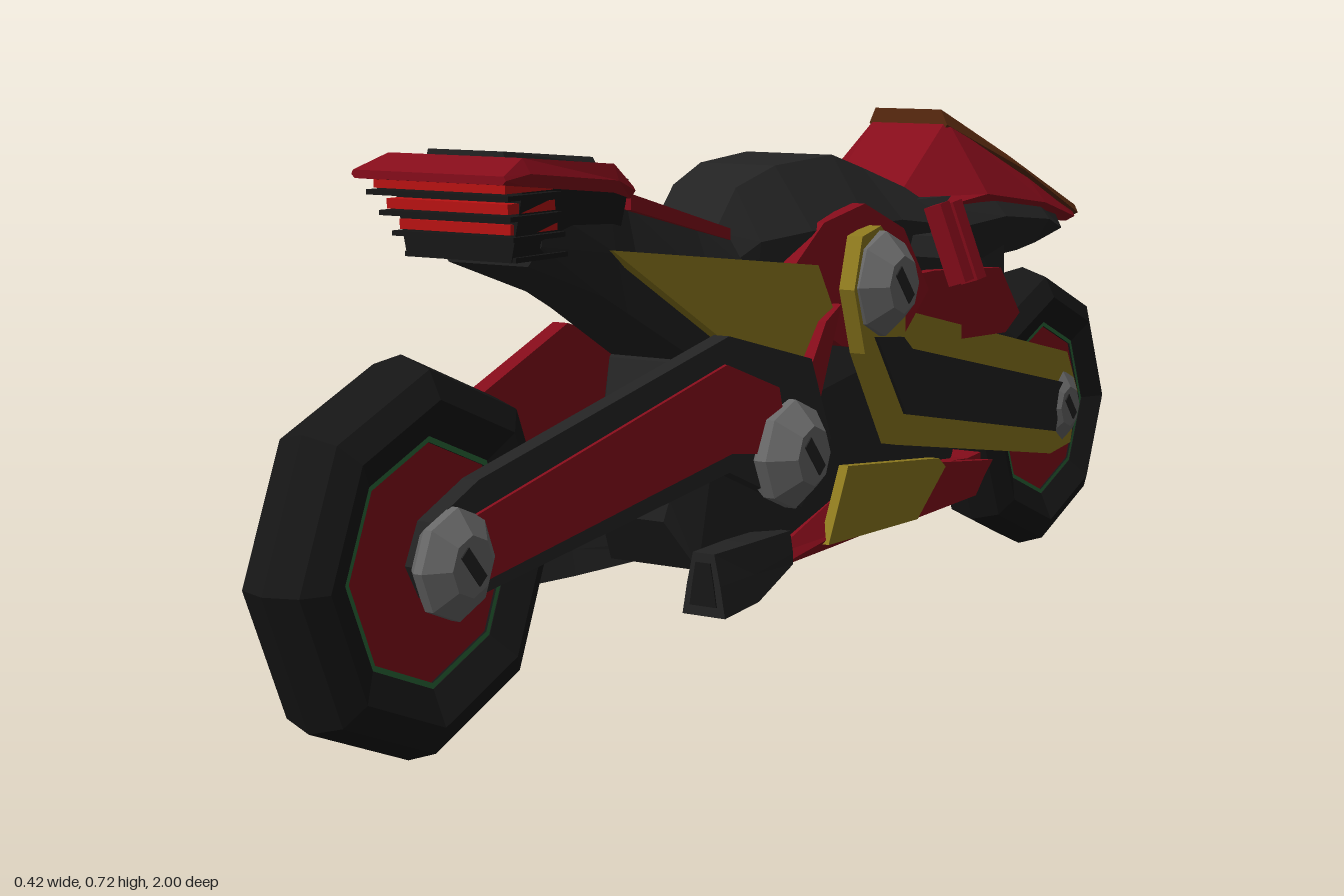
import * as THREE from 'three';

const mat = (color) => new THREE.MeshStandardMaterial({ color, flatShading: true, side: THREE.DoubleSide });
const DARK = mat(0x232323), BLACK = mat(0x161616), RED = mat(0x850c1a), GLOW = mat(0xb81212),
  GOLD = mat(0x8e7a1e), BROWN = mat(0x5a2a10), STEEL = mat(0x686868), GREEN = mat(0x2a6b3a);

export function createModel() {
  const model = new THREE.Group();
  const add = (name, geometry, material, parent = model) => {
    const mesh = new THREE.Mesh(geometry, material);
    mesh.name = name;
    parent.add(mesh);
    return mesh;
  };

  // Flat panel drawn in (z, y); its outer face runs from xA at zA to xB at zB
  const panel = (name, pts, material, thick, [zA, xA, zB, xB], side) => {
    const shape = new THREE.Shape(pts.map((p) => new THREE.Vector2(p[0], p[1])));
    const g = new THREE.ExtrudeGeometry(shape, { depth: thick, bevelEnabled: false });
    g.translate(0, 0, -thick / 2).rotateY(-Math.PI / 2);
    const pos = g.attributes.position;
    for (let i = 0; i < pos.count; i++) {
      const t = (pos.getZ(i) - zA) / (zB - zA);
      pos.setX(i, pos.getX(i) + side * (xA + (xB - xA) * t - thick / 2));
    }
    g.computeVertexNormals();
    return add(name, g, material);
  };

  // Six-sided hull through sections [z, yBottom, yMid, yTop, wBottom, wMid, wTop, centreX], front to back
  const loft = (name, sections, material) => {
    const v = [], f = [], n = 6;
    for (const [z, yb, ym, yt, wb, wm, wt, cx = 0] of sections)
      for (const [x, y] of [[wb, yb], [wm, ym], [wt, yt], [-wt, yt], [-wm, ym], [-wb, yb]]) v.push(cx + x, y, z);
    const last = (sections.length - 1) * n;
    for (let s = 0; s < last; s += n)
      for (let j = 0; j < n; j++) {
        const a = s + j, b = s + (j + 1) % n;
        f.push(a, a + n, b, b, a + n, b + n);
      }
    for (let j = 1; j < n - 1; j++) f.push(0, j, j + 1, last, last + j + 1, last + j);
    const g = new THREE.BufferGeometry();
    g.setAttribute('position', new THREE.Float32BufferAttribute(v, 3));
    g.setIndex(f);
    g.computeVertexNormals();
    return add(name, g, material);
  };

  const lathe = (pts) => new THREE.LatheGeometry(pts.map((p) => new THREE.Vector2(p[0], p[1])), 8).rotateZ(-Math.PI / 2);

  // Wheels: octagonal tyre, red disc and thin green ring
  const wheel = (name, z, y, r) => {
    const g = new THREE.Group();
    g.name = name;
    g.position.set(0, y, z);
    g.scale.set(1, r, r);
    add('tyre', lathe([[0.62, -0.04], [0.8, -0.058], [0.94, -0.042], [1, 0], [0.94, 0.042], [0.8, 0.058],
      [0.62, 0.04], [0.62, -0.04]]), BLACK, g);
    add('wheelDisc', lathe([[0, -0.036], [0.59, -0.036], [0.59, 0.036], [0, 0.036]]), RED, g);
    add('wheelRing', lathe([[0.59, -0.039], [0.63, -0.039], [0.63, 0.039], [0.59, 0.039]]), GREEN, g);
    model.add(g);
  };
  wheel('frontWheel', 0.762, 0.245, 0.24);
  wheel('rearWheel', -0.772, 0.228, 0.226);

  // Large faceted bolt with a slotted cap, from x0 outward
  const bolt = (name, z, y, r, x0, x1, side) => {
    const g = new THREE.Group(), h = x1 - x0;
    g.name = name;
    g.position.set(side * x0, y, z);
    if (side < 0) g.rotation.y = Math.PI;
    add('boltHead', lathe([[0, 0], [r * 0.8, 0], [r, h * 0.3], [r, h * 0.55], [r * 0.55, h], [0, h]]), STEEL, g);
    const slot = add('boltSlot', new THREE.BoxGeometry(0.004, r * 0.75, r * 0.25), DARK, g);
    slot.position.x = h;
    slot.rotation.x = 0.7;
    model.add(g);
  };

  // Engine block
  loft('engine', [
    [0.31, 0.22, 0.25, 0.29, 0.05, 0.06, 0.05],
    [0.26, 0.15, 0.28, 0.42, 0.07, 0.09, 0.07],
    [0.12, 0.14, 0.35, 0.56, 0.09, 0.12, 0.07],
    [-0.2, 0.15, 0.4, 0.58, 0.09, 0.12, 0.1],
    [-0.4, 0.17, 0.42, 0.55, 0.07, 0.11, 0.1],
    [-0.52, 0.38, 0.44, 0.52, 0.06, 0.1, 0.1]], DARK);
  loft('bellyPan', [
    [0.13, 0.13, 0.135, 0.15, 0.1, 0.11, 0.1],
    [-0.02, 0.135, 0.16, 0.2, 0.1, 0.118, 0.1],
    [-0.22, 0.143, 0.17, 0.22, 0.1, 0.12, 0.11],
    [-0.43, 0.145, 0.16, 0.2, 0.07, 0.09, 0.09],
    [-0.49, 0.18, 0.185, 0.2, 0.06, 0.08, 0.08]], RED);

  // Fuel tank
  loft('fuelTank', [
    [0.19, 0.5, 0.54, 0.585, 0.06, 0.07, 0.05],
    [0.14, 0.48, 0.57, 0.64, 0.08, 0.09, 0.05],
    [0.06, 0.48, 0.58, 0.665, 0.1, 0.12, 0.06],
    [-0.07, 0.48, 0.58, 0.673, 0.11, 0.13, 0.07],
    [-0.16, 0.5, 0.58, 0.65, 0.11, 0.13, 0.065],
    [-0.32, 0.5, 0.56, 0.605, 0.11, 0.13, 0.06]], DARK);

  // Neck and headlamp housing
  loft('neck', [
    [0.6, 0.575, 0.6, 0.65, 0.06, 0.08, 0.08],
    [0.45, 0.525, 0.58, 0.65, 0.06, 0.08, 0.07],
    [0.4, 0.5, 0.57, 0.635, 0.06, 0.075, 0.06],
    [0.25, 0.42, 0.52, 0.6, 0.07, 0.09, 0.06],
    [0.12, 0.4, 0.5, 0.57, 0.08, 0.1, 0.06]], DARK);
  loft('headHousing', [
    [0.655, 0.585, 0.64, 0.69, 0.078, 0.09, 0.1],
    [0.43, 0.6, 0.64, 0.67, 0.07, 0.08, 0.085]], BLACK);
  loft('headRim', [
    [0.71, 0.68, 0.685, 0.69, 0.11, 0.115, 0.112],
    [0.66, 0.675, 0.69, 0.708, 0.105, 0.112, 0.1],
    [0.46, 0.655, 0.67, 0.69, 0.085, 0.092, 0.085],
    [0.42, 0.645, 0.655, 0.66, 0.08, 0.088, 0.085]], RED);
  loft('headPanel', [
    [0.64, 0.69, 0.7, 0.713, 0.06, 0.06, 0.056],
    [0.47, 0.68, 0.69, 0.698, 0.065, 0.065, 0.06]], DARK);
  for (let i = 0; i < 4; i++) {
    const w = 0.196 - i * 0.015, y = 0.674 - i * 0.025, z = 0.645 - i * 0.014;
    add('lampSlat', new THREE.BoxGeometry(w, 0.012, 0.09), GLOW).position.set(0, y, z);
    add('lampFin', new THREE.BoxGeometry(w + 0.016, 0.006, 0.1), BLACK).position.set(0, y - 0.011, z);
  }

  // Tail: dark underside, red flanks, brown seat cover
  loft('tailBase', [
    [-0.22, 0.48, 0.55, 0.6, 0.1, 0.125, 0.09],
    [-0.45, 0.5, 0.565, 0.6, 0.1, 0.14, 0.11],
    [-0.6, 0.5, 0.55, 0.58, 0.08, 0.135, 0.11],
    [-0.68, 0.505, 0.53, 0.56, 0.07, 0.115, 0.1]], DARK);
  loft('tailFlanks', [
    [-0.265, 0.57, 0.58, 0.6, 0.08, 0.1, 0.06],
    [-0.41, 0.57, 0.6, 0.708, 0.1, 0.13, 0.06],
    [-0.6, 0.55, 0.575, 0.625, 0.1, 0.128, 0.085],
    [-0.745, 0.535, 0.543, 0.553, 0.09, 0.105, 0.1]], RED);
  loft('seatCover', [
    [-0.4, 0.69, 0.7, 0.722, 0.06, 0.066, 0.056],
    [-0.58, 0.61, 0.625, 0.645, 0.08, 0.102, 0.075],
    [-0.755, 0.54, 0.548, 0.56, 0.09, 0.106, 0.1]], BROWN);
  add('tailLamp', new THREE.BoxGeometry(0.1, 0.02, 0.03), GOLD).position.set(0, 0.525, -0.69);

  for (const s of [1, -1]) {
    // Front fork arms, with the colours swapped between the two sides
    const forkX = [0.2, 0.152, 0.76, 0.072];
    panel('frontFork', [[0.81, 0.25], [0.79, 0.3], [0.72, 0.34], [0.29, 0.465], [0.13, 0.42], [0.09, 0.31],
      [0.15, 0.225], [0.29, 0.29], [0.74, 0.2], [0.79, 0.21]], s > 0 ? DARK : RED, 0.024, forkX, s);
    panel('frontForkInlay', [[0.73, 0.3], [0.3, 0.43], [0.2, 0.39], [0.18, 0.3], [0.29, 0.315], [0.72, 0.22]],
      s > 0 ? RED : DARK, 0.01, forkX.map((v, i) => (i % 2 ? v + 0.005 : v)), s);
    bolt('frontHub', 0.762, 0.248, 0.067, 0.055, 0.102, s);
    bolt('forkPivot', 0.175, 0.3, 0.072, 0.13, 0.195, s);

    // Swing arms
    const armX = [-0.1, 0.15, -0.78, 0.075];
    panel('swingArm', [[0.0, 0.57], [-0.06, 0.58], [-0.13, 0.53], [-0.17, 0.45], [-0.79, 0.32], [-0.84, 0.25],
      [-0.81, 0.17], [-0.72, 0.165], [-0.115, 0.27], [-0.01, 0.41], [0.025, 0.5]], GOLD, 0.024, armX, s);
    panel('swingArmInlay', [[-0.04, 0.43], [-0.13, 0.42], [-0.16, 0.4], [-0.76, 0.275], [-0.73, 0.2], [-0.14, 0.31]],
      s > 0 ? DARK : RED, 0.01, armX.map((v, i) => (i % 2 ? v + 0.005 : v)), s);
    bolt('rearHub', -0.772, 0.235, 0.058, 0.055, 0.09, s);
    bolt('armPivot', -0.055, 0.502, 0.072, 0.13, 0.195, s);

    // Side fairings
    panel('frontFairing', [[0.465, 0.585], [0.06, 0.535], [0.02, 0.46], [0.11, 0.36], [0.25, 0.45]],
      GOLD, 0.015, [0.465, 0.085, 0.05, 0.13], s);
    panel('pivotCover', [[0.11, 0.48], [0.1, 0.54], [0.04, 0.59], [-0.05, 0.61], [-0.14, 0.57], [-0.2, 0.48],
      [-0.12, 0.4], [0.0, 0.42]], RED, 0.02, [0.11, 0.118, -0.06, 0.136], s);
    panel('pivotStrut', [[0.06, 0.46], [0.02, 0.48], [0.1, 0.3], [0.15, 0.33]], RED, 0.018, [0, 0.14, 0.15, 0.143], s);
    panel('rearFairing', [[-0.17, 0.5], [-0.26, 0.5], [-0.48, 0.485], [-0.55, 0.41], [-0.5, 0.385], [-0.17, 0.4]],
      RED, 0.02, [-0.17, 0.132, -0.55, 0.112], s);
    panel('bellyFairing', [[0.02, 0.148], [-0.03, 0.25], [-0.28, 0.225], [-0.3, 0.21], [-0.22, 0.145]],
      GOLD, 0.015, [0, 0.122, -0.3, 0.125], s);
    panel('rearBellyFairing', [[-0.22, 0.145], [-0.3, 0.215], [-0.49, 0.19], [-0.46, 0.17], [-0.43, 0.145]],
      RED, 0.015, [-0.22, 0.12, -0.5, 0.1], s);
    panel('neckRail', [[0.41, 0.65], [0.41, 0.63], [0.18, 0.575], [0.18, 0.59]], RED, 0.012, [0.41, 0.074, 0.18, 0.068], s);

    // Front side scoop with a recessed mouth
    loft('sideScoop', [
      [0.385, 0.125, 0.165, 0.205, 0.032, 0.025, 0.016, s * 0.163],
      [0.28, 0.125, 0.16, 0.2, 0.032, 0.026, 0.02, s * 0.145],
      [0.1, 0.135, 0.15, 0.18, 0.025, 0.025, 0.02, s * 0.09]], DARK);
    loft('scoopMouth', [
      [0.387, 0.138, 0.165, 0.193, 0.02, 0.016, 0.011, s * 0.163],
      [0.37, 0.138, 0.165, 0.193, 0.02, 0.016, 0.011, s * 0.162]], BLACK);

    // Leaning twin red side tabs
    for (const z of [-0.208, -0.244]) {
      const tab = add('sideTab', new THREE.BoxGeometry(0.028, 0.115, 0.026), RED);
      tab.position.set(s * 0.178, 0.545, z);
      tab.rotation.set(0.12, 0, s * 0.3);
    }
    add('tabBracket', new THREE.BoxGeometry(0.05, 0.03, 0.05), DARK).position.set(s * 0.145, 0.54, -0.226);
  }
  return model;
}
